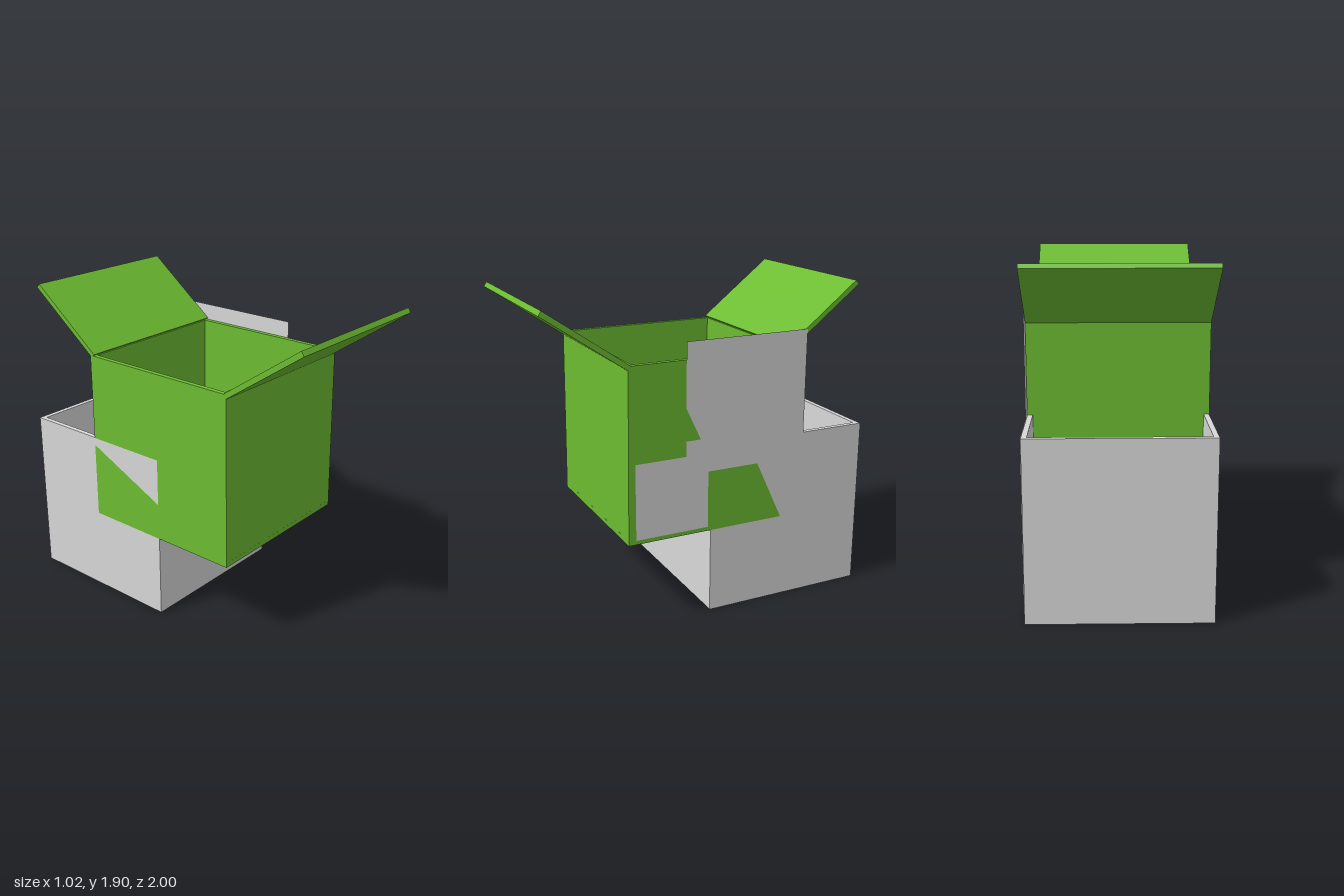
import * as THREE from 'three';

const green = new THREE.MeshStandardMaterial({ color: 0x6cbc31 });
green.name = 'leaf green';
const grey = new THREE.MeshStandardMaterial({ color: 0xd8d8d8, side: THREE.DoubleSide });
grey.name = 'light grey';

const W = 1.02, T = 0.03;

const outline = (pts) => new THREE.Shape(pts.map(([z, y]) => new THREE.Vector2(z, y)));

// Slab with a side profile given as [z, y] points, running across x
function slab(name, mat, pts, width = W, x = 0) {
  const geo = new THREE.ExtrudeGeometry(outline(pts), { depth: width, bevelEnabled: false });
  geo.translate(0, 0, -width / 2).rotateY(-Math.PI / 2);
  const mesh = new THREE.Mesh(geo, mat);
  mesh.position.x = x;
  mesh.name = name;
  return mesh;
}

// Flat sheet in a plane of constant x
function sheet(name, mat, pts, x) {
  const mesh = new THREE.Mesh(new THREE.ShapeGeometry(outline(pts)).rotateY(-Math.PI / 2), mat);
  mesh.position.x = x;
  mesh.name = name;
  return mesh;
}

// Open box: floor, front and back walls, two side walls
function openBox(name, mat, frontLow, frontHigh, back, y0, y1, width) {
  const g = new THREE.Group();
  g.name = name;
  g.add(slab('floor', mat, [[back, y0], [frontLow, y0], [frontLow, y0 + T], [back, y0 + T]], width));
  g.add(slab('frontWall', mat, [[frontLow - T, y0], [frontLow, y0], [frontHigh, y1], [frontHigh - T, y1]], width));
  g.add(slab('backWall', mat, [[back, y0], [back + T, y0], [back + T, y1], [back, y1]], width));
  for (const s of [-1, 1]) {
    g.add(slab(s > 0 ? 'leftWall' : 'rightWall', mat,
      [[back, y0], [frontLow, y0], [frontHigh, y1], [back, y1]], T, s * (width - T) / 2));
  }
  return g;
}

export function createModel() {
  const model = new THREE.Group();
  model.name = 'openBoxes';

  // Lower grey box, a hair narrower where the two boxes overlap
  model.add(openBox('greyBox', grey, 0.02, 0.02, -1, 0, 1.025, W - 0.004));

  // Upper green box with two raised lid flaps
  const upper = openBox('greenBox', green, 0.535, 0.523, -0.495, 0.515, 1.545, W);
  upper.add(slab('frontFlap', green, [[0.523, 1.52], [1.0, 1.85], [0.983, 1.877], [0.508, 1.547]]));
  upper.add(slab('backFlap', green, [[-0.485, 1.535], [-0.465, 1.555], [-0.91, 1.9], [-0.93, 1.877]]));
  model.add(upper);

  // Thin grey panel on the left side, rising above both boxes
  model.add(sheet('leftPanel', grey, [
    [0.02, 0], [-1, 0], [-1, 1.025], [-0.59, 1.025], [-0.59, 1.645], [0.18, 1.645],
    [0.18, 1.27], [0.09, 1.08], [0.18, 1.08], [0.18, 0.99], [0.49, 0.99], [0.49, 0.54],
    [0.04, 0.54], [0.04, 0.88], [-0.28, 0.88], [-0.45, 0.515], [0.02, 0.515],
  ], W / 2 + 0.002));

  // Grey patch on the right side where the boxes overlap
  model.add(sheet('rightPatch', grey,
    [[-0.495, 0.98], [0.02, 0.74], [0.02, 1.025], [-0.495, 1.025]], -W / 2 - 0.002));

  return model;
}
